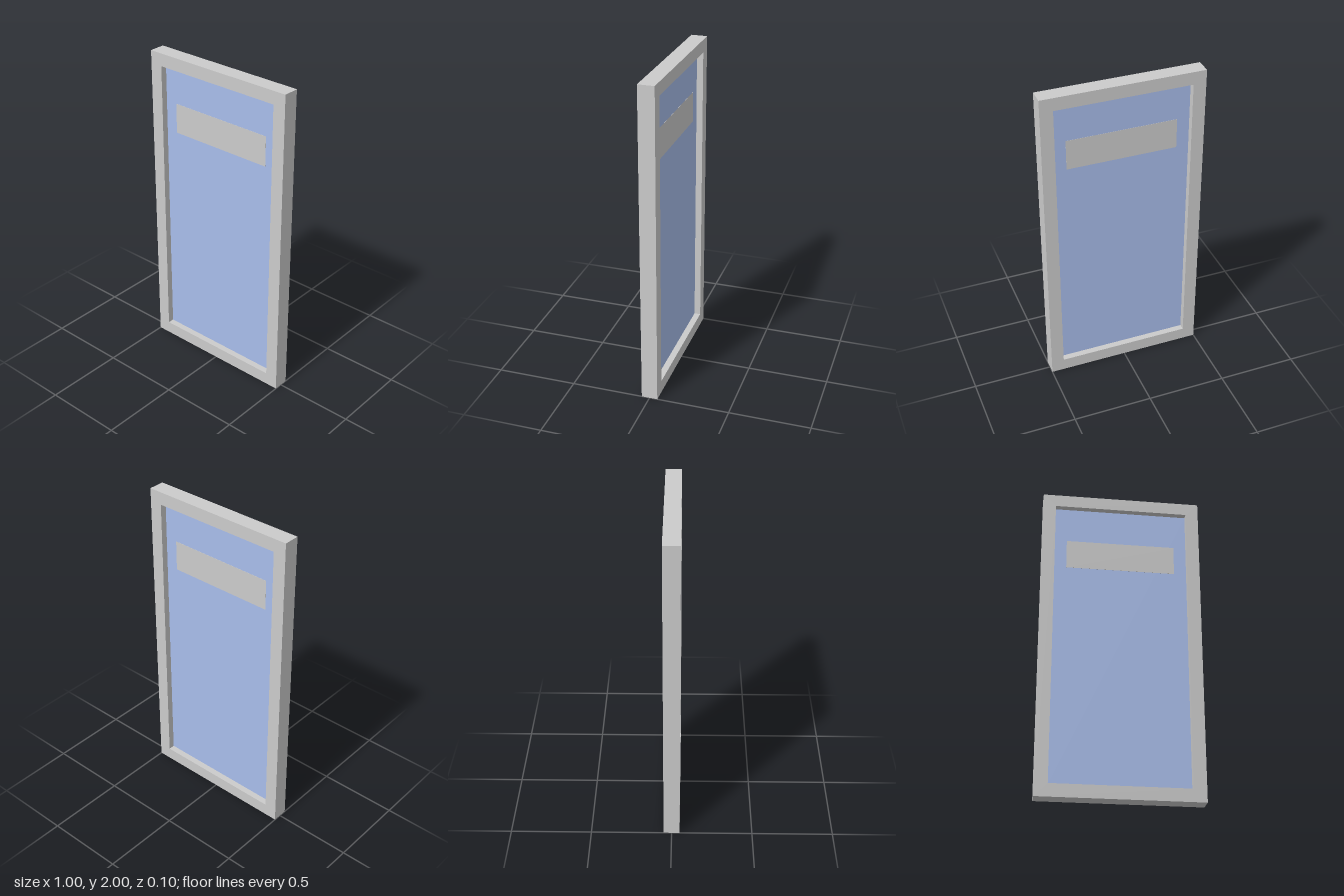
import * as THREE from 'three';

const WIDTH = 1, HEIGHT = 2, DEPTH = 0.1, BORDER = 0.08;

// Rectangle outline centred on x, used for both the frame and its opening
function rectangle(PathType, halfWidth, bottom, top) {
  return new PathType([
    new THREE.Vector2(-halfWidth, bottom),
    new THREE.Vector2(halfWidth, bottom),
    new THREE.Vector2(halfWidth, top),
    new THREE.Vector2(-halfWidth, top),
  ]);
}

export function createModel() {
  const group = new THREE.Group();
  group.name = 'framedPanel';

  const grey = new THREE.MeshStandardMaterial({ color: 0xcccccc });
  const blue = new THREE.MeshStandardMaterial({ color: 0xa8bdeb });

  const add = (name, geometry, material, y = 0) => {
    const mesh = new THREE.Mesh(geometry, material);
    mesh.name = name;
    mesh.position.y = y;
    group.add(mesh);
  };

  // Frame: one solid border around a rectangular opening
  const outline = rectangle(THREE.Shape, WIDTH / 2, 0, HEIGHT);
  outline.holes.push(rectangle(THREE.Path, WIDTH / 2 - BORDER, BORDER, HEIGHT - BORDER));
  const frame = new THREE.ExtrudeGeometry(outline, { depth: DEPTH, bevelEnabled: false });
  frame.translate(0, 0, -DEPTH / 2);
  add('frame', frame, grey);

  // Pane: recessed equally on both sides
  add('pane', new THREE.BoxGeometry(WIDTH - 2 * BORDER, HEIGHT - 2 * BORDER, 0.02), blue, HEIGHT / 2);

  // Label strip: runs through the pane, barely proud of both faces
  add('labelStrip', new THREE.BoxGeometry(0.685, 0.19, 0.022), grey, 1.595);

  return group;
}
